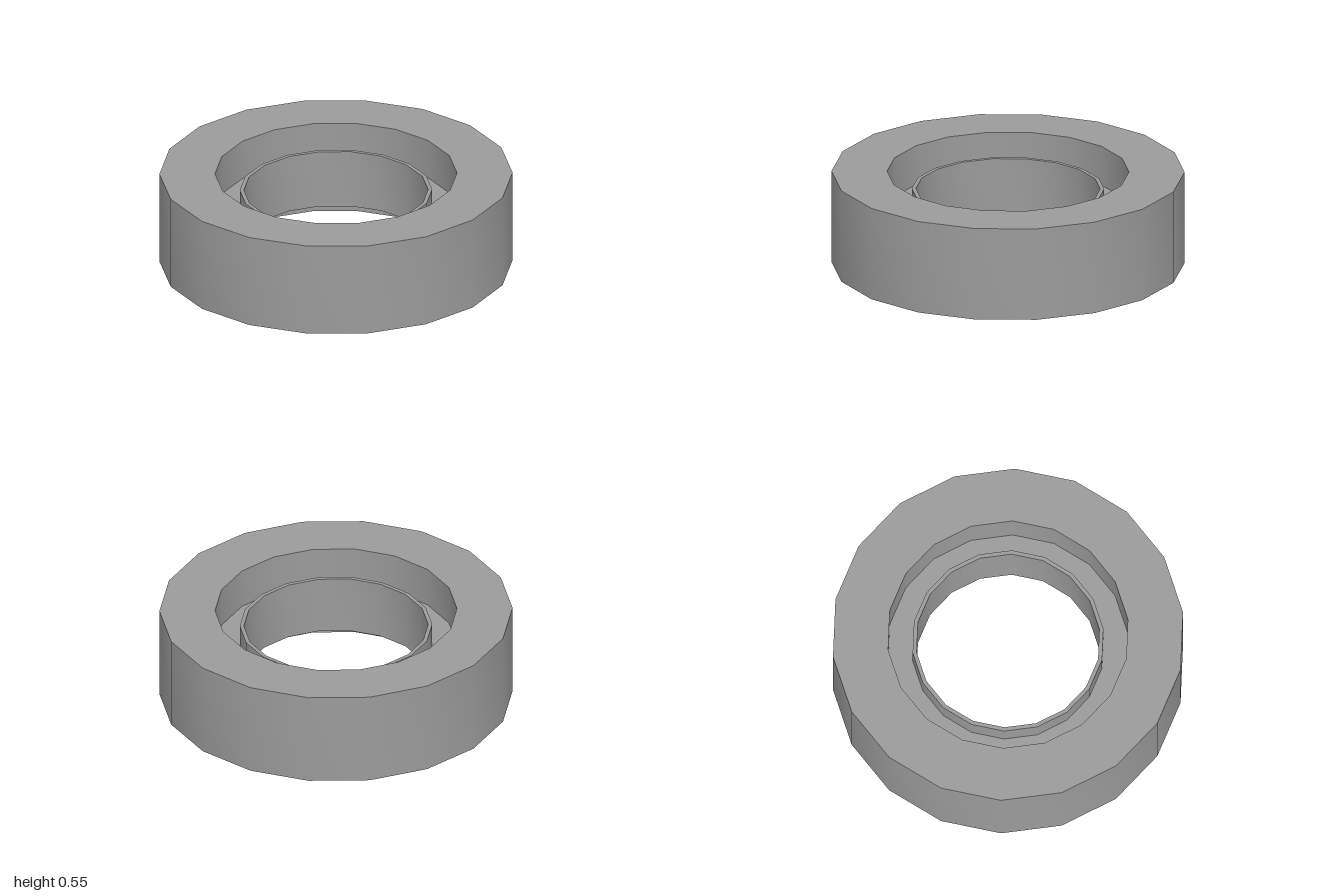
import * as THREE from 'three';
import { toCreasedNormals } from 'three/addons/utils/BufferGeometryUtils.js';

const SIDES = 18;
const HEIGHT = 0.545;
const material = new THREE.MeshStandardMaterial({ color: 0x9b9b9b });

// Ring with a rectangular section, centred on the wheel's mid-height
function ring(name, inner, outer, height) {
  const low = (HEIGHT - height) / 2;
  const high = low + height;
  const section = [[inner, low], [outer, low], [outer, high], [inner, high], [inner, low]]
    .map(([r, y]) => new THREE.Vector2(r, y));
  // Start at +x so that a corner lies on the x axis
  const lathe = new THREE.LatheGeometry(section, SIDES, Math.PI / 2);
  const mesh = new THREE.Mesh(toCreasedNormals(lathe, 0.7), material);
  mesh.name = name;
  return mesh;
}

export function createModel() {
  const wheel = new THREE.Group();
  wheel.name = 'wheel';
  wheel.add(
    ring('tyre', 0.685, 1, HEIGHT),
    ring('web', 0.54, 0.685, 0.08), // recessed disc joining tyre and hub
    ring('hubCollar', 0.522, 0.545, 0.34),
  );
  return wheel;
}
